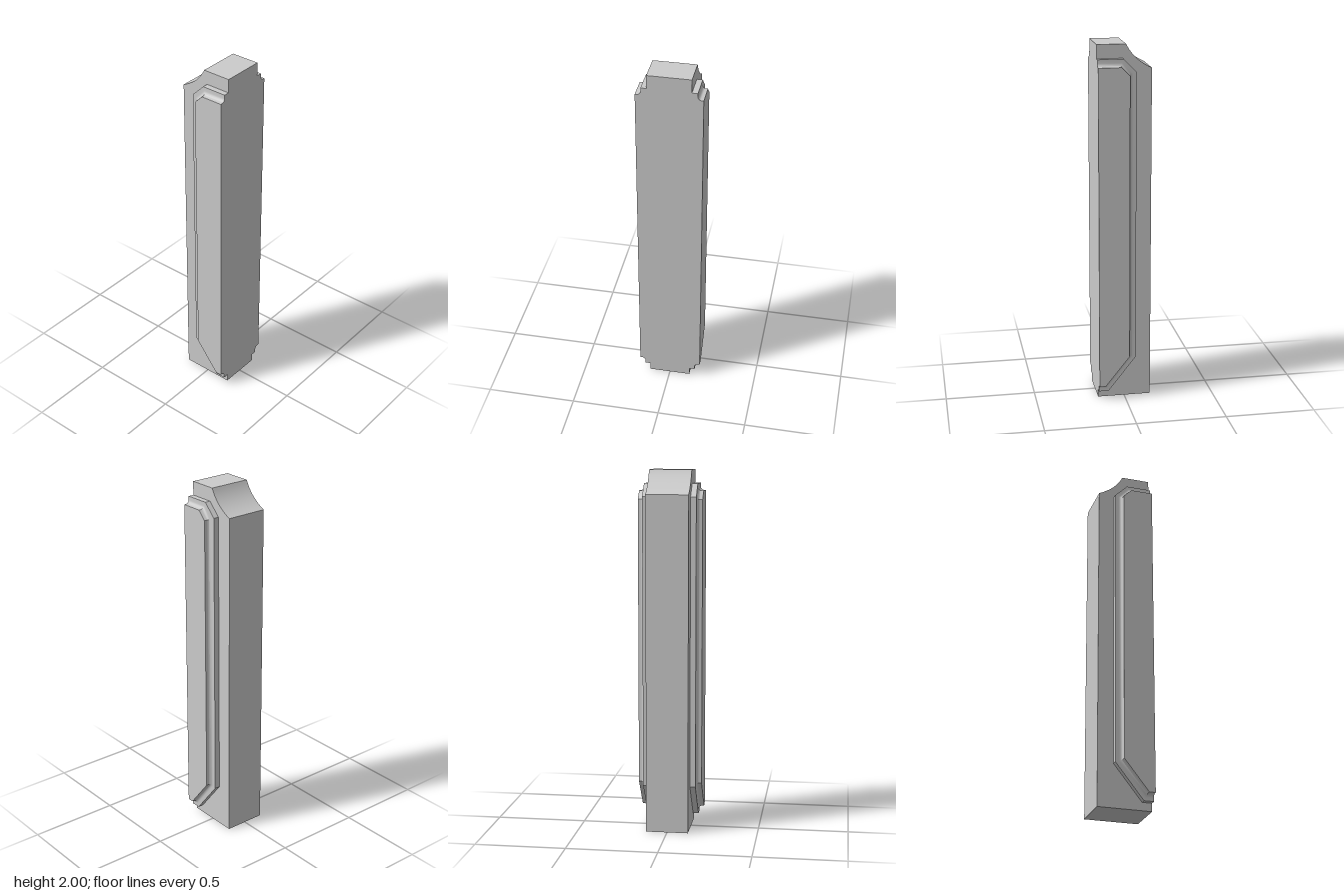
import * as THREE from 'three';
import { toCreasedNormals } from 'three/addons/utils/BufferGeometryUtils.js';

const FRONT = 0.149, BACK = -0.149;
const CORE_X = 0.117, STEP_X = 0.148, FACE_X = 0.178;
const material = new THREE.MeshStandardMaterial({ color: 0xcccccc });

// Outline of the side panel as [z, y], grown outwards by d with mitred corners
function panelOutline(d) {
  return [
    [FRONT, 1.885 + d],
    [0.025 - 0.414 * d, 1.885 + d],
    [-0.021 - d, 1.839 + 0.414 * d],
    [-0.021 - d, 0.255 - 0.348 * d],
    [0.114 - 0.482 * d, 0.085 - d],
    [FRONT, 0.085 - d],
  ];
}

// Joins outlines at stations [x, growth] and caps the outer one; side is +1 or -1
function panelGeometry(stations, side) {
  const rings = stations.map(([x, d]) =>
    panelOutline(d).map(([z, y]) => [side * x, y, z]));
  const pos = [];
  const tri = (a, b, c) => pos.push(...a, ...(side > 0 ? b : c), ...(side > 0 ? c : b));
  for (let i = 0; i < rings.length - 1; i++) {
    const a = rings[i], b = rings[i + 1];
    for (let j = 0; j < a.length; j++) {
      const k = (j + 1) % a.length;
      tri(a[j], b[j], b[k]);
      tri(a[j], b[k], a[k]);
    }
  }
  const cap = rings[rings.length - 1];
  for (let j = 1; j < cap.length - 1; j++) tri(cap[0], cap[j + 1], cap[j]);
  const g = new THREE.BufferGeometry();
  g.setAttribute('position', new THREE.Float32BufferAttribute(pos, 3));
  return toCreasedNormals(g, 0.5);
}

export function createModel() {
  const group = new THREE.Group();
  const add = (name, geometry) => {
    const mesh = new THREE.Mesh(geometry, material);
    mesh.name = name;
    group.add(mesh);
  };

  // Central post with a hollow curve at the top of the back
  const s = new THREE.Shape();
  s.moveTo(-FRONT, 0);
  s.lineTo(-BACK, 0);
  s.lineTo(-BACK, 1.87);
  s.quadraticCurveTo(0.05, 1.915, 0.01, 2);
  s.lineTo(-FRONT, 2);
  s.closePath();
  const core = new THREE.ExtrudeGeometry(s, { depth: 2 * CORE_X, bevelEnabled: false, curveSegments: 12 });
  core.rotateY(Math.PI / 2).translate(-CORE_X, 0, 0);
  add('post', toCreasedNormals(core, 0.5));

  // Side panels: a square step, a small cove, then the raised face
  const r = 0.02, stations = [[CORE_X, 0.04], [STEP_X, 0.04]];
  for (let i = 0; i <= 6; i++) {
    const t = (i / 6) * Math.PI / 2;
    stations.push([STEP_X + r * (1 - Math.cos(t)), r * (1 - Math.sin(t))]);
  }
  stations.push([FACE_X, 0]);
  add('leftPanel', panelGeometry(stations, 1));
  add('rightPanel', panelGeometry(stations, -1));

  return group;
}
